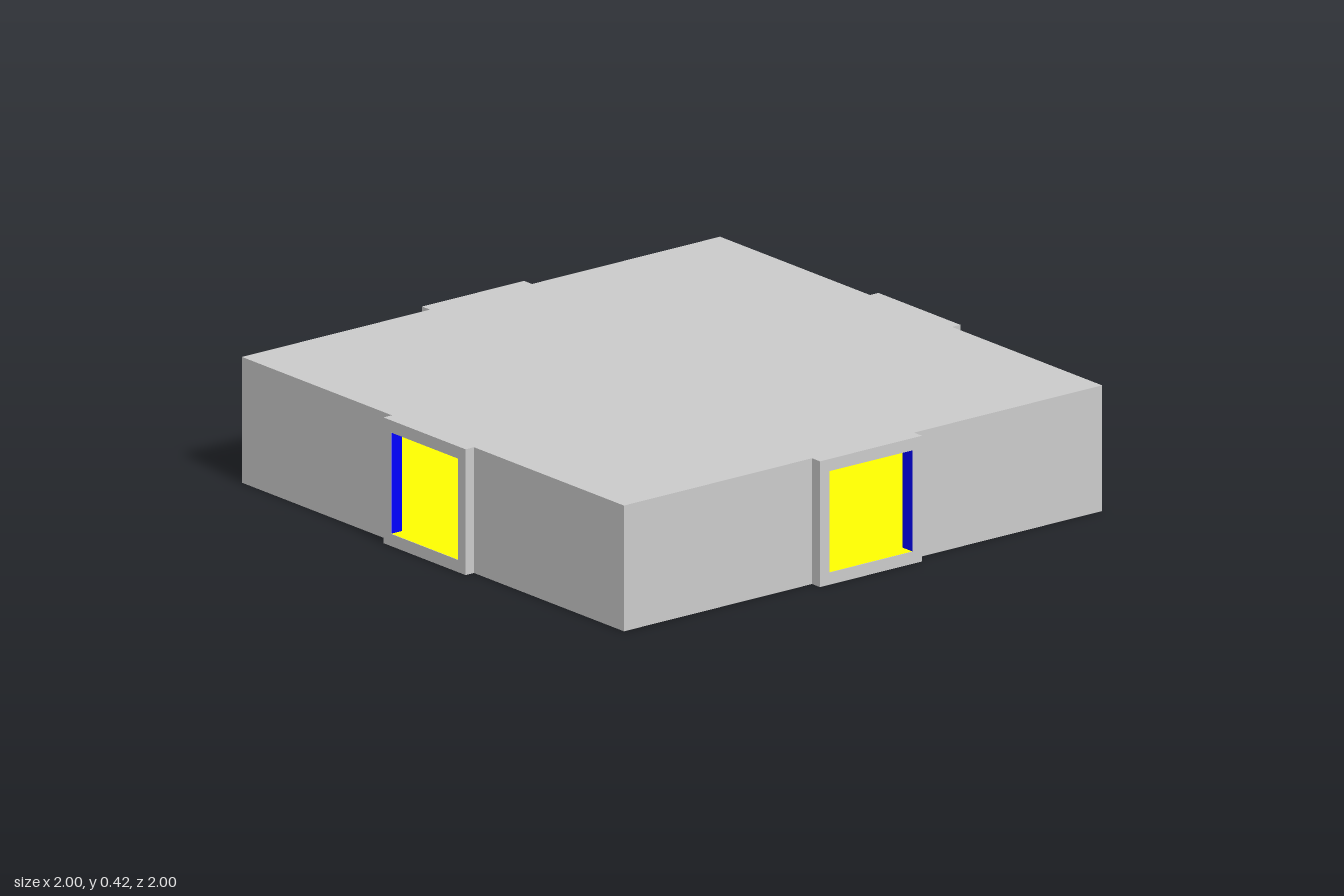
import * as THREE from 'three';

const mat = (color) => new THREE.MeshStandardMaterial({ color, flatShading: true });

export function createModel() {
  const grey = mat(0xcccccc), yellow = mat(0xffff00), blue = mat(0x0000ff), red = mat(0xff0000);
  const H = 0.417, T = 0.04;            // total height, floor and ceiling thickness
  const X = 0.96, Z = 0.966;            // half sizes of the room
  const F = 0.206, O = 0.168;           // half widths of the frame and its opening
  const WALL = 0.01, EPS = 0.001;
  const model = new THREE.Group();
  model.name = 'room';

  const add = (parent, name, geometry, material) => {
    const mesh = new THREE.Mesh(geometry, material);
    mesh.name = name;
    parent.add(mesh);
    return mesh;
  };

  // Upright rectangle with the square door opening cut out
  const panel = (halfWidth) => {
    const s = new THREE.Shape();
    s.moveTo(-halfWidth, 0).lineTo(halfWidth, 0).lineTo(halfWidth, H).lineTo(-halfWidth, H).closePath();
    const h = new THREE.Path();
    const b = H / 2 - O, t = H / 2 + O;
    h.moveTo(-O, b).lineTo(-O, t).lineTo(O, t).lineTo(O, b).closePath();
    s.holes.push(h);
    return s;
  };
  const slab = (halfWidth, depth) =>
    new THREE.ExtrudeGeometry(panel(halfWidth), { depth, bevelEnabled: false });

  // Floor with yellow upper face, ceiling with red lower face
  const plate = new THREE.BoxGeometry(2 * (X - WALL), T, 2 * (Z - WALL));
  add(model, 'floor', plate, [grey, grey, yellow, grey, grey, grey]).position.y = T / 2;
  add(model, 'ceiling', plate, [grey, grey, grey, red, grey, grey]).position.y = H - T / 2;

  // One wall with its doorway, built facing +z and turned into place
  const names = ['front', 'left', 'back', 'right'];
  names.forEach((name, i) => {
    const [dist, half] = i % 2 ? [X, Z] : [Z, X];
    const side = new THREE.Group();
    side.name = name + 'Side';
    side.rotation.y = i * Math.PI / 2;
    model.add(side);

    add(side, 'wall', slab(half, WALL), grey).position.z = dist - WALL;
    const inner = add(side, 'innerWall', new THREE.ShapeGeometry(panel(half - WALL)), blue);
    inner.rotation.y = Math.PI;
    inner.position.z = dist - WALL - EPS;
    add(side, 'doorFrame', slab(F, 1 - dist), grey).position.z = dist;

    // Coloured lining of the opening: sill, jambs and lintel
    const depth = 1 - dist + WALL, mid = 1 - depth / 2, r = O - EPS;
    const sill = add(side, 'sill', new THREE.PlaneGeometry(2 * O, depth), yellow);
    sill.rotation.x = -Math.PI / 2;
    sill.position.set(0, H / 2 - r, mid);
    const lintel = add(side, 'lintel', new THREE.PlaneGeometry(2 * O, depth), red);
    lintel.rotation.x = Math.PI / 2;
    lintel.position.set(0, H / 2 + r, mid);
    for (const s of [-1, 1]) {
      const jamb = add(side, 'jamb', new THREE.PlaneGeometry(depth, 2 * O), blue);
      jamb.rotation.y = -s * Math.PI / 2;
      jamb.position.set(s * r, H / 2, mid);
    }
  });
  return model;
}
